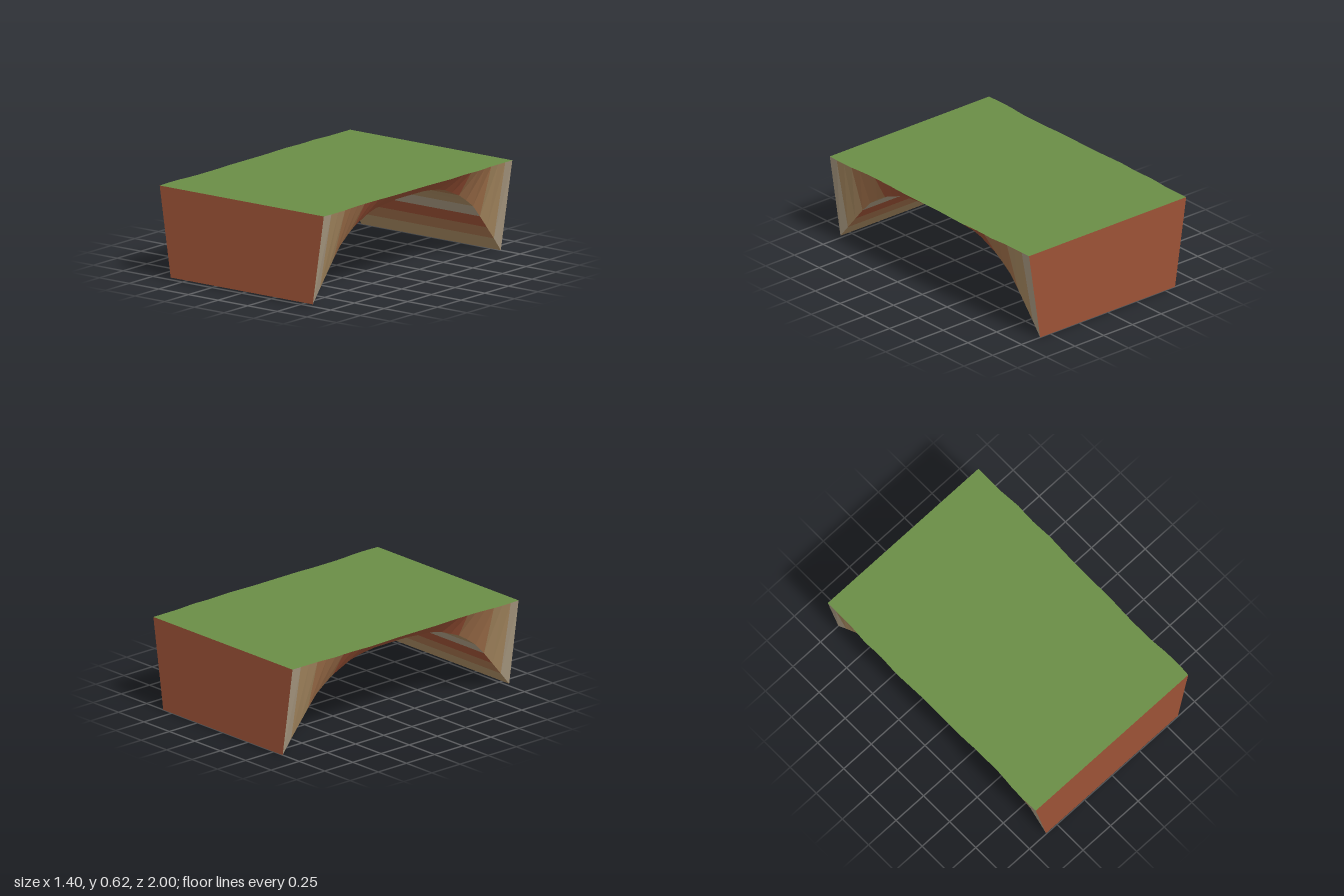
import * as THREE from 'three';

const SEGMENTS = 27;
const TOP = 0.625;
const COLORS = { grass: 0x6a8d46, rust: 0x9c5236, clay: 0xa0704a, tan: 0xa5875f, stone: 0xa89880 };

// Rock colour of each strip, counted from either end towards the crown
const SIDE = ['stone', 'tan', 'tan', 'clay', 'clay', 'clay', 'rust'];
const UNDER = ['tan', 'clay', 'rust', 'stone', 'tan', 'tan', 'clay', 'clay', 'rust'];

// Height of the arch underside along z
const ARCH = [[-1, 0], [-0.93, 0.09], [-0.78, 0.27], [-0.7, 0.36], [-0.63, 0.41], [-0.56, 0.455], [-0.41, 0.52],
  [-0.33, 0.54], [-0.2, 0.557], [0.1, 0.56], [0.33, 0.54], [0.41, 0.52], [0.56, 0.46], [0.63, 0.415],
  [0.7, 0.365], [0.78, 0.28], [0.93, 0.1], [1, 0.015]];
// Uneven half width of the top edge along z
const EDGE = [[-1, 0.684], [-0.78, 0.684], [-0.63, 0.696], [-0.5, 0.689], [-0.33, 0.698], [-0.1, 0.689],
  [0.3, 0.69], [0.42, 0.683], [0.65, 0.683], [0.8, 0.697], [0.92, 0.697], [1, 0.692]];

function sample(table, z) {
  let i = 1;
  while (i < table.length - 1 && table[i][0] < z) i++;
  const [z0, v0] = table[i - 1];
  const [z1, v1] = table[i];
  return v0 + (v1 - v0) * (z - z0) / (z1 - z0);
}

// Cross-section: top and bottom half widths and the underside height
function section(i) {
  const z = -1 + 2 * i / SEGMENTS;
  return { z, top: sample(EDGE, z), low: 0.593 + 0.006 * z, y: sample(ARCH, z) };
}

// Flat-shaded mesh from quads with corners counter-clockwise from outside
function quadMesh(name, color, quads) {
  const points = quads.flatMap(([a, b, c, d]) => [a, b, c, a, c, d]).flat();
  const geometry = new THREE.BufferGeometry();
  geometry.setAttribute('position', new THREE.Float32BufferAttribute(points, 3));
  geometry.computeVertexNormals();
  const mesh = new THREE.Mesh(geometry, new THREE.MeshStandardMaterial({ color, flatShading: true }));
  mesh.name = name;
  return mesh;
}

export function createModel() {
  const group = new THREE.Group();
  group.name = 'rockArchBridge';
  const sections = Array.from({ length: SEGMENTS + 1 }, (_, i) => section(i));
  const grass = [];
  const strips = { sideStrips: {}, undersideStrips: {} };
  const add = (part, color, quad) => (strips[part][color] ??= []).push(quad);

  for (let i = 0; i < SEGMENTS; i++) {
    const a = sections[i], b = sections[i + 1];
    const fromEnd = Math.min(i, SEGMENTS - 1 - i);
    const sideColor = SIDE[Math.min(fromEnd, SIDE.length - 1)];
    const underColor = UNDER[Math.min(fromEnd, UNDER.length - 1)];

    // Flat grassy top
    grass.push([[-a.top, TOP, a.z], [-b.top, TOP, b.z], [b.top, TOP, b.z], [a.top, TOP, a.z]]);
    // Leaning side walls
    for (const s of [1, -1]) {
      const quad = [[s * a.top, TOP, a.z], [s * b.top, TOP, b.z], [s * b.low, b.y, b.z], [s * a.low, a.y, a.z]];
      add('sideStrips', sideColor, s > 0 ? quad : quad.reverse());
    }
    // Arched underside
    add('undersideStrips', underColor,
      [[-a.low, a.y, a.z], [a.low, a.y, a.z], [b.low, b.y, b.z], [-b.low, b.y, b.z]]);
  }

  group.add(quadMesh('grassTop', COLORS.grass, grass));
  for (const [part, byColor] of Object.entries(strips)) {
    for (const [color, quads] of Object.entries(byColor)) {
      group.add(quadMesh(`${part} ${color}`, COLORS[color], quads));
    }
  }

  // Flat end walls
  for (const [name, s, e] of [['backWall', -1, sections[0]], ['frontWall', 1, sections[SEGMENTS]]]) {
    group.add(quadMesh(name, COLORS.rust, [[[-s * e.low, e.y, e.z], [s * e.low, e.y, e.z],
      [s * e.top, TOP, e.z], [-s * e.top, TOP, e.z]]]));
  }
  return group;
}
